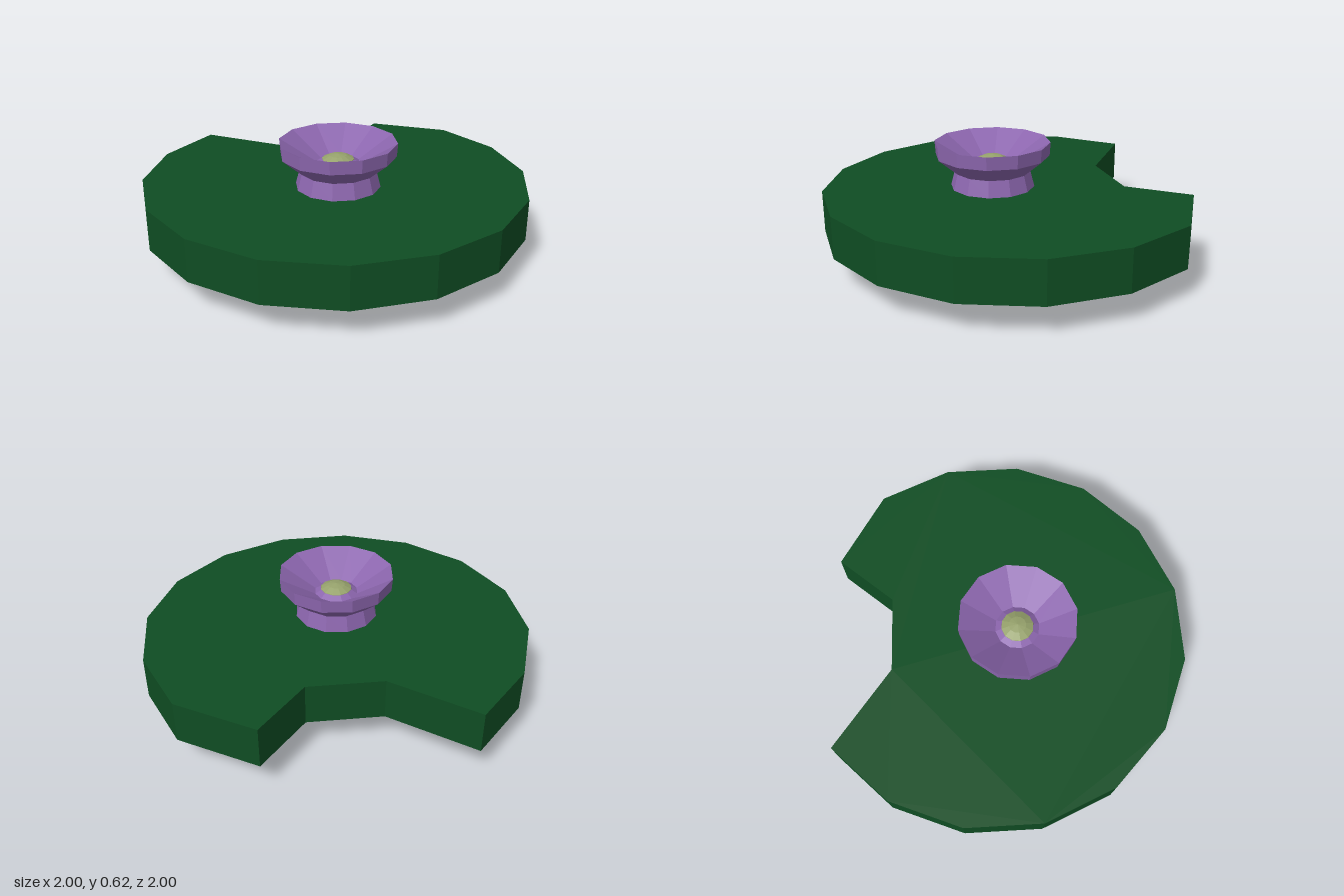
import * as THREE from 'three';

const padGreen = new THREE.MeshStandardMaterial({ color: 0x0f4d23 });
padGreen.name = 'padGreen';
const petalPurple = new THREE.MeshStandardMaterial({ color: 0x8c66ae });
petalPurple.name = 'petalPurple';
const centreOlive = new THREE.MeshStandardMaterial({ color: 0x96a26c });
centreOlive.name = 'centreOlive';

// Faceted mesh: unshared vertices give one normal per face
function faceted(name, geometry, material) {
  const flat = geometry.index ? geometry.toNonIndexed() : geometry;
  flat.computeVertexNormals();
  const mesh = new THREE.Mesh(flat, material);
  mesh.name = name;
  return mesh;
}

// Twelve-sided turned solid with flats facing the axes; profile is [radius, y] from bottom to top
function turned(name, profile, material) {
  const points = profile.map(([r, y]) => new THREE.Vector2(r, y));
  return faceted(name, new THREE.LatheGeometry(points, 12, Math.PI / 12), material);
}

export function createModel() {
  const model = new THREE.Group();
  model.name = 'lilyPad';

  // Leaf: sixteen-sided disc with a notch on its right side, as [x, z]
  const outline = [];
  for (let i = 0; i < 13; i++) {
    const a = Math.PI * (-0.5 - 1 / 16 + i / 8);
    outline.push([1.02 * Math.cos(a), 1.02 * Math.sin(a)]);
  }
  outline.push([-0.56, -0.05], [-0.4, -0.41], [-0.565, -0.74]);
  const shape = new THREE.Shape(outline.map(([x, z]) => new THREE.Vector2(x, -z)));
  const leafGeometry = new THREE.ExtrudeGeometry(shape, { depth: 0.22, bevelEnabled: false });
  leafGeometry.rotateX(-Math.PI / 2).translate(0, 0.16, 0);
  model.add(faceted('leaf', leafGeometry, padGreen));

  // Flower standing through the leaf
  const flower = new THREE.Group();
  flower.name = 'flower';
  flower.position.set(0.11, 0, 0.066);
  flower.add(
    // Stem, flared cup, funnel inside and raised ring around the centre
    turned('blossom', [
      [0, 0], [0.115, 0.03], [0.16, 0.16], [0.23, 0.36], [0.222, 0.38], [0.2, 0.465],
      [0.301, 0.55], [0.306, 0.62], [0.115, 0.505], [0.083, 0.525],
    ], petalPurple),
    // Low domed centre
    turned('flowerCentre', [[0.085, 0.52], [0.083, 0.527], [0.045, 0.545], [0, 0.553]], centreOlive),
  );
  model.add(flower);
  return model;
}
